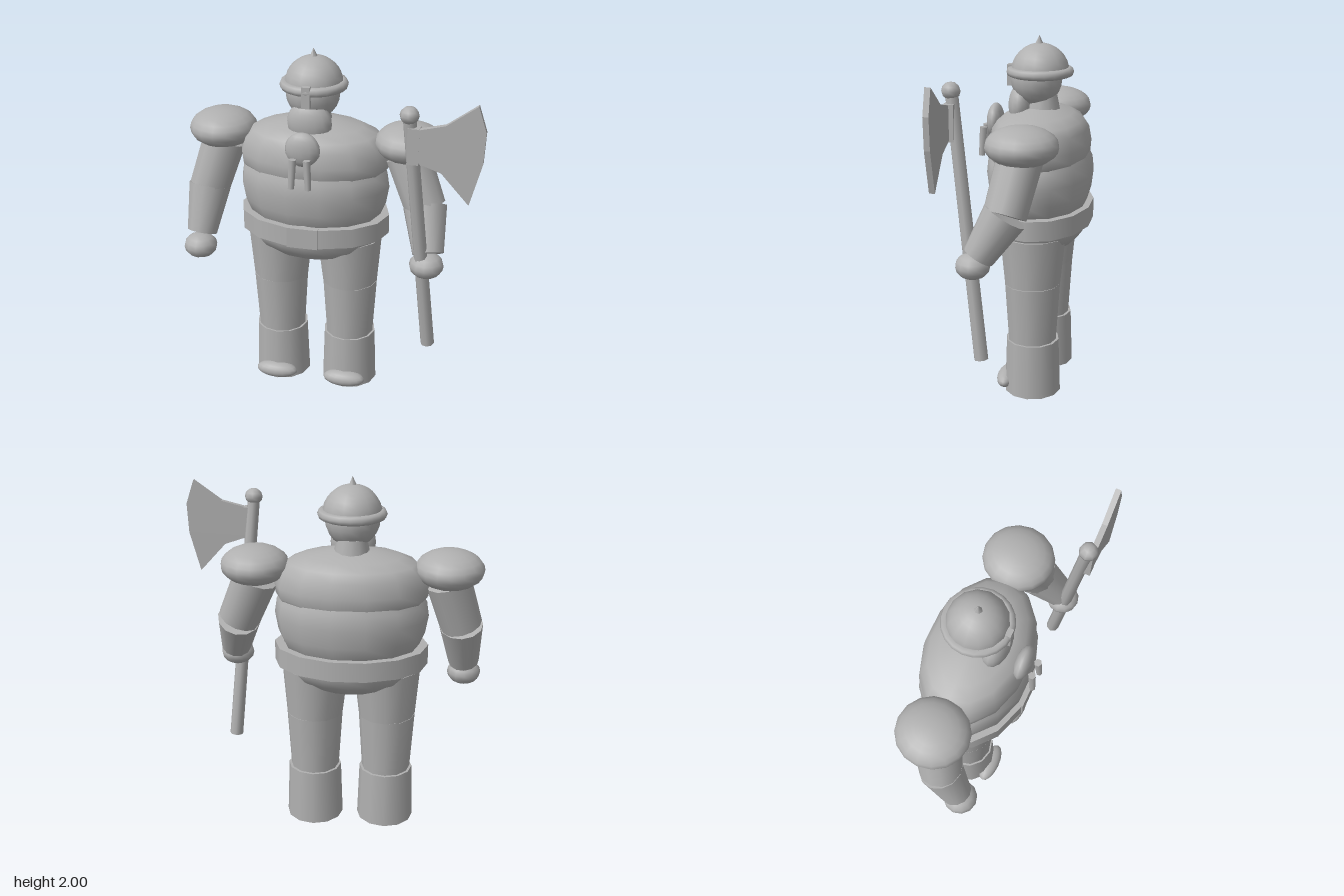
import * as THREE from 'three';

const CX = -0.11; // body axis
const CZ = -0.05;

export function createModel() {
  const model = new THREE.Group();
  model.name = 'axeWarrior';
  const grey = new THREE.MeshStandardMaterial({ color: 0xb0b0b0 });
  grey.name = 'plainGrey';

  const add = (name, geo, x = 0, y = 0, z = 0) => {
    const mesh = new THREE.Mesh(geo, grey);
    mesh.name = name;
    mesh.position.set(x, y, z);
    model.add(mesh);
    return mesh;
  };
  const ellipsoid = (name, [x, y, z], [rx, ry, rz], ws = 16, hs = 12) =>
    add(name, new THREE.SphereGeometry(1, ws, hs).scale(rx, ry, rz), x, y, z);
  const box = (name, [x, y, z], [w, h, d]) => add(name, new THREE.BoxGeometry(w, h, d), x, y, z);
  // tapered limb between two points
  const limb = (name, a, b, ra, rb, sides = 12) => {
    const p = new THREE.Vector3(...a), q = new THREE.Vector3(...b);
    const dir = p.clone().sub(q);
    const mesh = add(name, new THREE.CylinderGeometry(ra, rb, dir.length(), sides));
    mesh.position.copy(p).add(q).multiplyScalar(0.5);
    mesh.quaternion.setFromUnitVectors(new THREE.Vector3(0, 1, 0), dir.normalize());
    return mesh;
  };
  // round section squashed front to back
  const squashedLathe = (name, pts, ratio) =>
    add(name, new THREE.LatheGeometry(pts.map(p => new THREE.Vector2(...p)), 14, Math.PI / 14)
      .scale(1, 1, ratio), CX, 0, -0.055);

  // Torso
  squashedLathe('chest', [[0, 1.32], [0.385, 1.33], [0.41, 1.36], [0.417, 1.42], [0.395, 1.5],
    [0.35, 1.545], [0.27, 1.58], [0.13, 1.61], [0, 1.62]], 0.66);
  squashedLathe('belly', [[0.3, 1.0], [0.37, 1.08], [0.4, 1.15], [0.417, 1.25], [0.405, 1.33],
    [0.36, 1.4]], 0.7);
  add('belt', new THREE.CylinderGeometry(0.42, 0.42, 0.11, 14, 1, false, Math.PI / 14)
    .scale(1, 1, 0.7), CX, 1.025, -0.055);
  box('beltBuckle', [CX, 1.025, 0.225], [0.17, 0.115, 0.03]);
  ellipsoid('hips', [CX, 1.0, -0.05], [0.385, 0.203, 0.275]);

  // Head, helmet and beard
  limb('neck', [CX, 1.68, -0.065], [CX, 1.58, -0.065], 0.08, 0.1);
  ellipsoid('head', [CX, 1.77, -0.03], [0.147, 0.15, 0.142]);
  add('helmetDome', new THREE.SphereGeometry(1, 14, 8, 0, Math.PI * 2, 0, Math.PI / 2)
    .scale(0.158, 0.155, 0.158), CX, 1.803, CZ);
  add('helmetRim', new THREE.TorusGeometry(0.158, 0.026, 8, 20).rotateX(Math.PI / 2), CX, 1.805, CZ);
  add('helmetSpike', new THREE.ConeGeometry(0.028, 0.06, 6), CX, 1.97, CZ + 0.005);
  box('noseGuard', [CX, 1.78, 0.115], [0.045, 0.115, 0.03]);
  ellipsoid('upperBeard', [CX, 1.62, 0.052], [0.122, 0.122, 0.07]);
  ellipsoid('lowerBeard', [CX, 1.525, 0.2], [0.095, 0.095, 0.045], 12, 10);

  for (const s of [-1, 1]) {
    const x = CX + s * 0.2025;
    // Beard braids
    limb('beardBraid', [CX + s * 0.038, 1.49, 0.26], [CX + s * 0.046, 1.33, 0.27], 0.021, 0.017, 6);

    // Legs
    limb('thigh', [CX + s * 0.197, 0.94, CZ], [x, 0.66, CZ], 0.185, 0.157);
    limb('shin', [x, 0.66, CZ], [x, 0.32, CZ], 0.157, 0.136);
    limb('boot', [x, 0.325, CZ - 0.003], [x, 0.01, CZ - 0.003], 0.149, 0.16);
    ellipsoid('bootToe', [x, 0.067, 0.095], [0.122, 0.048, 0.055]);
    add('sole', new THREE.CylinderGeometry(0.09, 0.06, 0.012, 12), x, 0.006, CZ + 0.05);

    // Shoulder pads
    ellipsoid('shoulderPad', [CX + s * 0.518, 1.517, -0.06], [0.185, 0.105, 0.192]);
  }

  // Right arm hanging, left arm holding the axe
  const arms = [
    ['right', [-0.622, 1.45, -0.05], [-0.705, 1.18, 0], [-0.733, 0.93, 0.09], [-0.738, 0.855, 0.115]],
    ['left', [0.402, 1.45, -0.05], [0.515, 1.18, 0.005], [0.56, 0.965, 0.135], [0.557, 0.913, 0.165]],
  ];
  for (const [side, shoulder, elbow, wrist, hand] of arms) {
    limb(side + 'UpperArm', shoulder, elbow, 0.122, 0.115);
    limb(side + 'Forearm', elbow, wrist, 0.119, 0.085);
    ellipsoid(side + 'Hand', hand, [0.094, 0.071, 0.092], 12, 8);
  }

  // Axe
  limb('axeHandle', [0.457, 1.8, 0.287], [0.577, 0.4, 0.122], 0.034, 0.038, 8);
  ellipsoid('axeKnob', [0.459, 1.795, 0.288], [0.05, 0.046, 0.05], 8, 6);
  box('axeSocket', [0.485, 1.64, 0.29], [0.06, 0.19, 0.055]);
  const blade = new THREE.Shape([[0.485, 1.725], [0.485, 1.565], [0.63, 1.515], [0.775, 1.355],
    [0.833, 1.58], [0.84, 1.745], [0.796, 1.877], [0.643, 1.765]]
    .map(p => new THREE.Vector2(...p)));
  add('axeBlade', new THREE.ExtrudeGeometry(blade, { depth: 0.03, bevelEnabled: false }), 0, 0, 0.287);

  return model;
}
